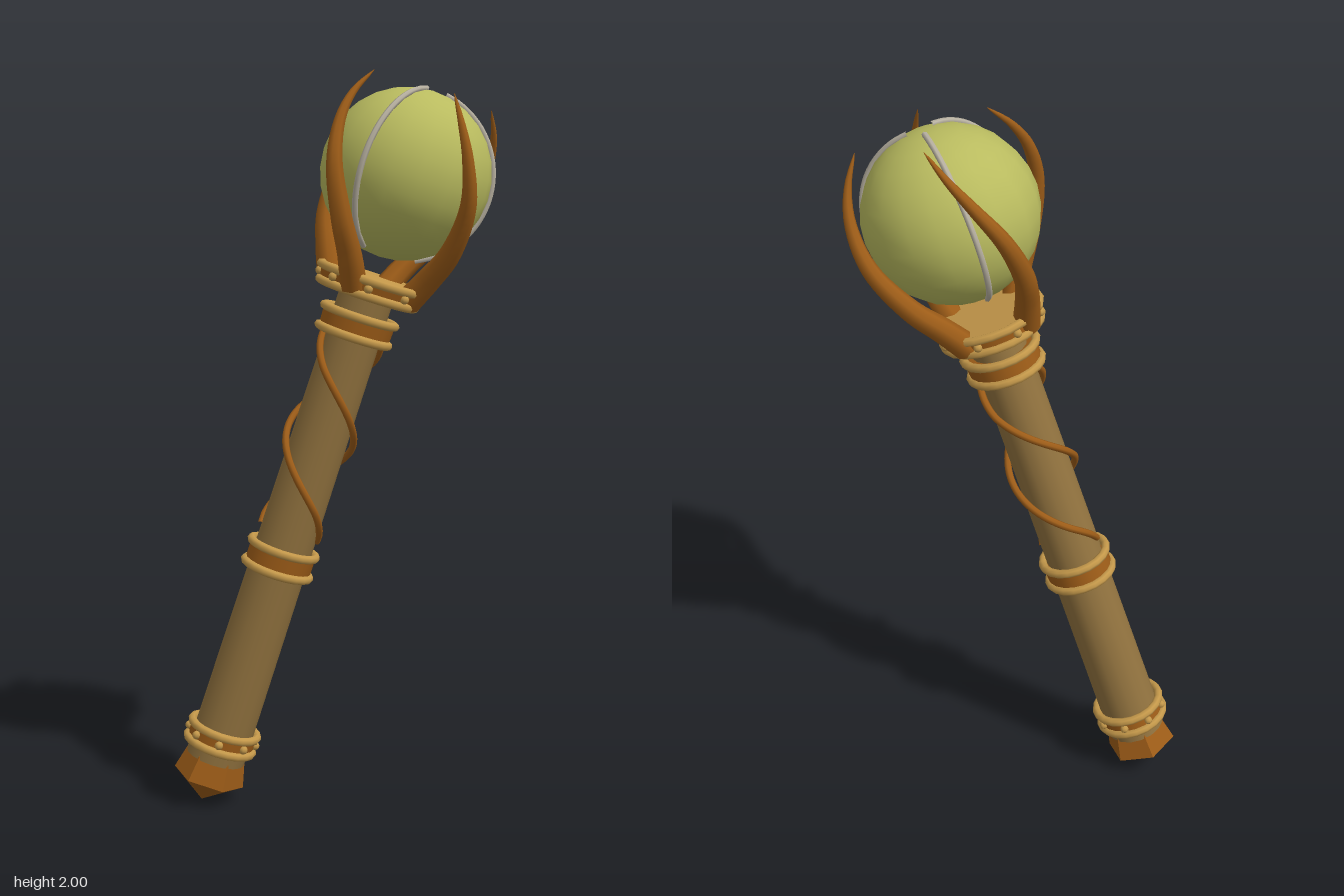
import * as THREE from 'three';

const mat = (name, color, extra = {}) => {
  const m = new THREE.MeshStandardMaterial({ color, ...extra });
  m.name = name;
  return m;
};

// Point around the staff axis: radius, angle in degrees, height
const polar = (r, deg, y) => {
  const a = THREE.MathUtils.degToRad(deg);
  return new THREE.Vector3(r * Math.cos(a), y, r * Math.sin(a));
};

// Tube whose radius follows radiusAt(t)
function taperedTube(curve, segments, sides, radiusAt) {
  const geo = new THREE.TubeGeometry(curve, segments, 1, sides);
  const pos = geo.attributes.position;
  const v = new THREE.Vector3();
  for (let i = 0; i <= segments; i++) {
    const c = curve.getPointAt(i / segments);
    for (let j = 0; j <= sides; j++) {
      const k = i * (sides + 1) + j;
      v.fromBufferAttribute(pos, k).sub(c).multiplyScalar(radiusAt(i / segments)).add(c);
      pos.setXYZ(k, v.x, v.y, v.z);
    }
  }
  return geo;
}

export function createModel() {
  const wood = mat('wood brown', 0x92733f);
  const gold = mat('pale gold', 0xc4984a);
  const bronze = mat('bronze', 0x9e5d18);
  const pommelBronze = mat('bronze', 0x9e5d18);
  pommelBronze.flatShading = true;
  const glass = mat('orb green', 0xb9bb5f);
  const silver = mat('silver', 0xb9b2a2);

  const model = new THREE.Group();
  model.name = 'orbStaff';
  const staff = new THREE.Group();
  staff.name = 'leaningStaff';
  staff.position.x = -0.365;
  staff.rotation.z = -Math.PI / 10;
  model.add(staff);

  const add = (name, geo, material, y = 0, parent = staff) => {
    const mesh = new THREE.Mesh(geo, material);
    mesh.name = name;
    mesh.position.y = y;
    parent.add(mesh);
    return mesh;
  };

  // Shaft
  add('shaft', new THREE.CylinderGeometry(0.074, 0.083, 1.38, 16), wood, 0.82);

  // Six-sided pommel, corners on the x axis
  const pommelProfile = [[0, 0], [0.1, 0.068], [0.082, 0.14], [0, 0.142]]
    .map(([x, y]) => new THREE.Vector2(x, y));
  add('pommel', new THREE.LatheGeometry(pommelProfile, 6, Math.PI / 2), pommelBronze);

  // Bands with rolled edges, some riveted
  const band = (name, y, height, rBottom, rTop, rivets) => {
    const g = new THREE.Group();
    g.name = name;
    g.position.y = y;
    staff.add(g);
    add('bandBody', new THREE.CylinderGeometry(rTop, rBottom, height, 20), bronze, 0, g);
    [[-1, rBottom], [1, rTop]].forEach(([side, r]) => {
      const rim = new THREE.TorusGeometry(r, 0.012, 8, 20).rotateX(Math.PI / 2);
      add('bandRim', rim, gold, side * height / 2, g);
    });
    for (let i = 0; i < rivets; i++) {
      const rivet = add('rivet', new THREE.SphereGeometry(0.012, 8, 6), gold, 0, g);
      rivet.position.copy(polar((rBottom + rTop) / 2 + 0.002, i * 360 / rivets, 0));
    }
  };
  band('bottomBand', 0.194, 0.046, 0.094, 0.094, 8);
  band('middleBand', 0.725, 0.06, 0.092, 0.092, 0);
  band('upperBand', 1.398, 0.055, 0.098, 0.1, 0);
  band('collar', 1.508, 0.04, 0.134, 0.142, 8);
  add('collarTop', new THREE.CylinderGeometry(0.136, 0.14, 0.012, 20), gold, 1.529);

  // Two vines winding one turn around the shaft
  for (const start of [0, 180]) {
    const pts = [];
    for (let i = 0; i <= 24; i++) {
      const t = i / 24;
      const r = 0.08 + 0.012 * Math.min(1, 6 * t, 6 * (1 - t));
      pts.push(polar(r, start + 360 * t, 0.8 + 0.56 * t));
    }
    add('vine', new THREE.TubeGeometry(new THREE.CatmullRomCurve3(pts), 56, 0.01, 7), bronze);
  }

  // Orb
  const orbY = 1.82;
  add('orb', new THREE.SphereGeometry(0.229, 18, 14), glass, orbY);

  // Silver ribs hugging the orb
  for (const deg of [0, 120, 240]) {
    const pts = [];
    for (let i = 0; i <= 14; i++) {
      const p = THREE.MathUtils.degToRad(9 + (147 * i) / 14);
      pts.push(polar(0.231 * Math.sin(p), deg, 0.231 * Math.cos(p)));
    }
    add('orbRib', new THREE.TubeGeometry(new THREE.CatmullRomCurve3(pts), 32, 0.008, 6), silver, orbY);
  }

  // Four tapering claws that twist around the orb: radius, angle, height
  const clawPath = [
    [0.115, 20, 1.5], [0.16, 27, 1.575], [0.212, 35, 1.66],
    [0.255, 46, 1.79], [0.248, 56, 1.9], [0.218, 64, 1.98], [0.172, 72, 2.05],
  ];
  for (let k = 0; k < 4; k++) {
    const curve = new THREE.CatmullRomCurve3(clawPath.map(([r, a, y]) => polar(r, a + 90 * k, y)));
    const radius = (t) => 0.036 * Math.pow(1 - t, 0.7) + 0.0008;
    add('claw', taperedTube(curve, 28, 8, radius), bronze);
  }

  return model;
}
